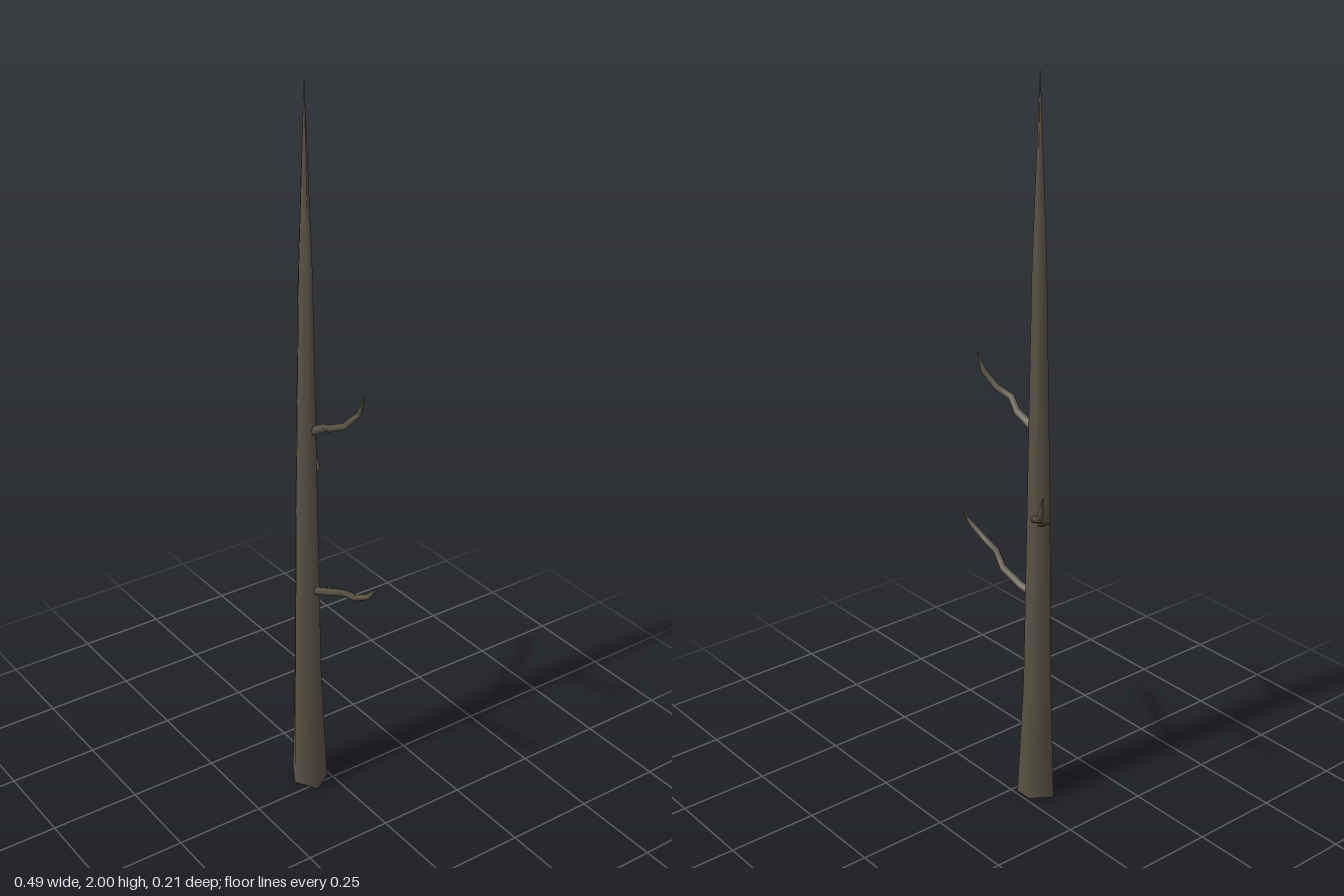
import * as THREE from 'three';

// Skin a list of equal-length vertex rings with smooth normals
function loft(rings, capStart) {
  const n = rings[0].length;
  const positions = [], index = [];
  rings.forEach((ring) => ring.forEach((p) => positions.push(p.x, p.y, p.z)));
  for (let r = 0; r < rings.length - 1; r++) {
    for (let i = 0; i < n; i++) {
      const a = r * n + i, b = r * n + ((i + 1) % n);
      index.push(a, b, b + n, a, b + n, a + n);
    }
  }
  // Separate cap vertices keep the rim sharp
  if (capStart) {
    const base = positions.length / 3;
    rings[0].forEach((p) => positions.push(p.x, p.y, p.z));
    for (let i = 1; i < n - 1; i++) index.push(base, base + i + 1, base + i);
  }
  const geometry = new THREE.BufferGeometry();
  geometry.setAttribute('position', new THREE.Float32BufferAttribute(positions, 3));
  geometry.setIndex(index);
  geometry.computeVertexNormals();
  return geometry;
}

// Rings around a crooked path, tapering to a point
function branchGeometry(path, radius, sides = 5) {
  const points = path.map((p) => new THREE.Vector3(...p));
  const last = points.length - 1;
  const rings = points.map((p, k) => {
    const t = points[Math.min(k + 1, last)].clone().sub(points[Math.max(k - 1, 0)]).normalize();
    const u = new THREE.Vector3(0, 0, 1).addScaledVector(t, -t.z).normalize();
    const v = t.clone().cross(u);
    const r = k === last ? 0.0008 : radius * (1 - 0.4 * k / last);
    return Array.from({ length: sides }, (_, i) => {
      const a = (i / sides) * Math.PI * 2;
      return p.clone().addScaledVector(u, Math.cos(a) * r).addScaledVector(v, Math.sin(a) * r);
    });
  });
  return loft(rings, true);
}

export function createModel() {
  const group = new THREE.Group();
  group.name = 'bareTree';
  const bark = new THREE.MeshStandardMaterial({ color: 0x5a5345 });
  bark.name = 'bark';

  const add = (name, geometry) => {
    const mesh = new THREE.Mesh(geometry, bark);
    mesh.name = name;
    group.add(mesh);
  };

  // Five-sided trunk with a flared foot and a long spike top
  const section = [[0, 1], [1, 0.24], [0.4, -0.95], [-0.4, -0.95], [-1, 0.24]];
  // Each level: height, centre x, centre z, half width, half depth
  const levels = [
    [0, -0.041, 0.055, 0.063, 0.048],
    [0.35, -0.047, 0.055, 0.044, 0.038],
    [0.9, -0.05, 0.052, 0.036, 0.029],
    [1.52, -0.049, 0.05, 0.023, 0.018],
    [2, -0.05, 0.047, 0.0008, 0.0008],
  ];
  add('trunk', loft(levels.map(([y, cx, cz, w, d]) =>
    section.map(([x, z]) => new THREE.Vector3(cx + x * w, y, cz + z * d))), true));

  // Crooked bare branches
  add('lowerBranch', branchGeometry([
    [-0.04, 0.615, 0.045], [0, 0.63, 0.033], [0.065, 0.657, 0.027], [0.115, 0.686, 0.043],
    [0.165, 0.698, 0.047], [0.215, 0.725, 0.042], [0.244, 0.76, 0.03]], 0.012));
  add('middleBranch', branchGeometry([
    [-0.05, 0.825, 0.05], [-0.085, 0.843, 0.035], [-0.14, 0.878, 0.002], [-0.156, 0.905, -0.056],
    [-0.203, 0.927, -0.078], [-0.235, 0.963, -0.1], [-0.247, 1.01, -0.104]], 0.012));
  add('upperBranch', branchGeometry([
    [-0.04, 1.09, 0.043], [0.015, 1.122, 0.033], [0.06, 1.143, 0.052],
    [0.105, 1.163, 0.037], [0.14, 1.203, 0.022], [0.154, 1.255, 0.013]], 0.012));

  return group;
}
